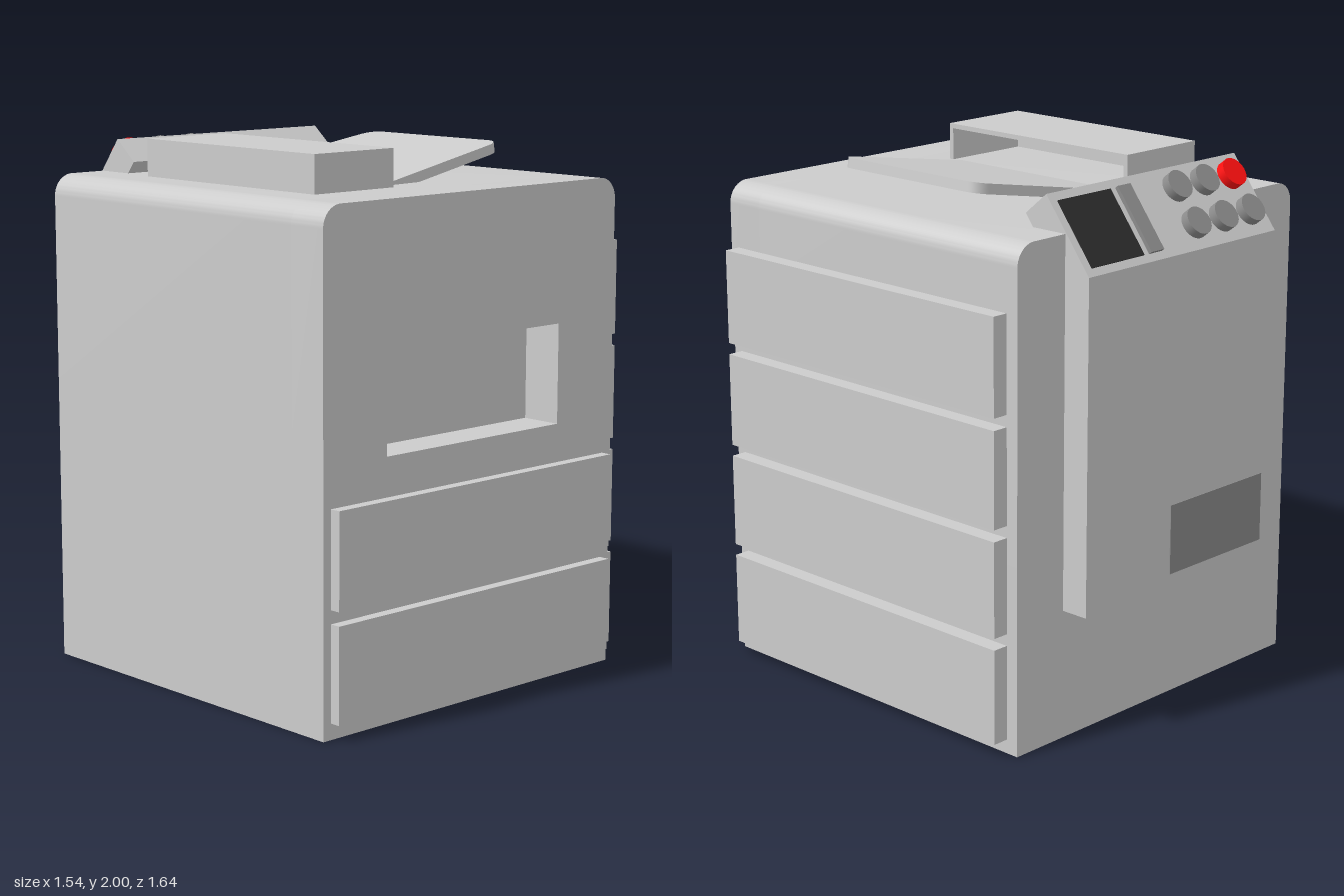
import * as THREE from 'three';
import { toCreasedNormals } from 'three/addons/utils/BufferGeometryUtils.js';

const material = (color) => new THREE.MeshStandardMaterial({ color });

export function createModel() {
  const model = new THREE.Group();
  const grey = material(0xcccccc);
  const darkGrey = material(0x8c8c8c);
  const black = material(0x2c2c2c);
  const red = material(0xff1010);

  const add = (name, geometry, mat = grey, parent = model) => {
    const mesh = new THREE.Mesh(geometry, mat);
    mesh.name = name;
    parent.add(mesh);
    return mesh;
  };
  // Box given by its minimum and maximum corners
  const box = (name, [x0, y0, z0], [x1, y1, z1], mat, parent) =>
    add(name, new THREE.BoxGeometry(x1 - x0, y1 - y0, z1 - z0)
      .translate((x0 + x1) / 2, (y0 + y1) / 2, (z0 + z1) / 2), mat, parent);
  const polygon = (points) => new THREE.Shape(points.map(([x, y]) => new THREE.Vector2(x, y)));
  const extrude = (shape, depth) => toCreasedNormals(
    new THREE.ExtrudeGeometry(shape, { depth, bevelEnabled: false, curveSegments: 10 }), 0.6);

  // Cabinet outline with rounded top edges
  const cabinetShape = () => {
    const s = new THREE.Shape();
    const r = 0.08;
    s.moveTo(-0.77, 0);
    s.lineTo(0.705, 0);
    s.lineTo(0.705, 1.86 - r);
    s.absarc(0.705 - r, 1.86 - r, r, 0, Math.PI / 2, false);
    s.lineTo(-0.77 + r, 1.86);
    s.absarc(-0.77 + r, 1.86 - r, r, Math.PI / 2, Math.PI, false);
    s.closePath();
    return s;
  };
  const recessDepth = 0.16;
  const front = 0.775;
  const back = -0.71;
  add('cabinet', extrude(cabinetShape(), front - recessDepth - back).translate(0, 0, back));

  // Front section of the cabinet with the output slot cut out
  const frontShape = cabinetShape();
  frontShape.holes.push(polygon([[-0.47, 0.965], [-0.47, 1.34], [0.405, 1.34], [0.405, 0.965]]));
  add('cabinetFront', extrude(frontShape, recessDepth).translate(0, 0, front - recessDepth));

  // Two front drawers and four side panels
  for (const y of [0.06, 0.465])
    box('frontDrawer', [-0.735, y, front - 0.01], [0.66, y + 0.355, 0.817]);
  for (let i = 0; i < 4; i++) {
    const y = 0.053 + i * 0.402;
    box('sidePanel', [0.69, y, -0.66], [0.768, y + 0.358, 0.735]);
  }

  // Paper feeder: a shallow housing open towards +x
  const feeder = new THREE.Group();
  feeder.name = 'feeder';
  model.add(feeder);
  const [fx0, fx1, fz0, fz1, wall] = [-0.56, -0.18, -0.415, 0.503, 0.018];
  box('feederTop', [fx0, 2 - wall, fz0], [fx1, 2, fz1], grey, feeder);
  box('feederBack', [fx0, 1.85, fz0], [fx0 + wall, 2 - wall, fz1], grey, feeder);
  box('feederSide', [fx0 + wall, 1.85, fz0], [fx1, 2 - wall, fz0 + wall], grey, feeder);
  box('feederSide', [fx0 + wall, 1.85, fz1 - wall], [fx1, 2 - wall, fz1], grey, feeder);

  // Sloping paper tray, narrowing to two rounded corners
  const tray = new THREE.Shape();
  tray.moveTo(0, -0.405);
  tray.lineTo(0.62, -0.352);
  tray.quadraticCurveTo(0.68, -0.345, 0.685, -0.29);
  tray.lineTo(0.685, 0.29);
  tray.quadraticCurveTo(0.68, 0.345, 0.62, 0.352);
  tray.lineTo(0, 0.405);
  tray.closePath();
  const trayMesh = add('paperTray', extrude(tray, 0.038).rotateX(-Math.PI / 2).translate(0, -0.038, 0));
  trayMesh.position.set(-0.185, 1.862, 0.04);
  trayMesh.rotation.z = Math.atan(0.176);

  // Rear panel that rises into a slanted control console
  const rear = polygon([[-0.82, 0.49], [-0.69, 0.49], [-0.69, 1.69],
    [-0.524, 1.905], [-0.62, 1.985], [-0.82, 1.725]]);
  add('controlConsole', extrude(rear, 1.01).rotateY(-Math.PI / 2).translate(0.47, 0, 0));
  box('rearLabel', [-0.5, 0.535, -0.823], [0.02, 0.8, -0.815], darkGrey);

  // Controls: local y is the console normal, local z runs up the slope
  const controls = new THREE.Group();
  controls.name = 'controls';
  controls.position.set(0, 1.725, -0.82);
  controls.rotation.x = -Math.atan2(0.26, 0.2);
  model.add(controls);
  for (const x of [-0.45, -0.297, -0.145]) {
    for (const z of [0.095, 0.245]) {
      const isStop = x === -0.45 && z === 0.245;
      add(isStop ? 'stopButton' : 'button', new THREE.CylinderGeometry(0.055, 0.055, 0.045, 32),
        isStop ? red : darkGrey, controls).position.set(x, 0.0125, z);
    }
  }
  box('controlBar', [0.073, -0.01, 0.03], [0.14, 0.015, 0.295], darkGrey, controls);
  box('screen', [0.168, -0.01, 0.03], [0.437, 0.005, 0.295], black, controls);

  return model;
}
